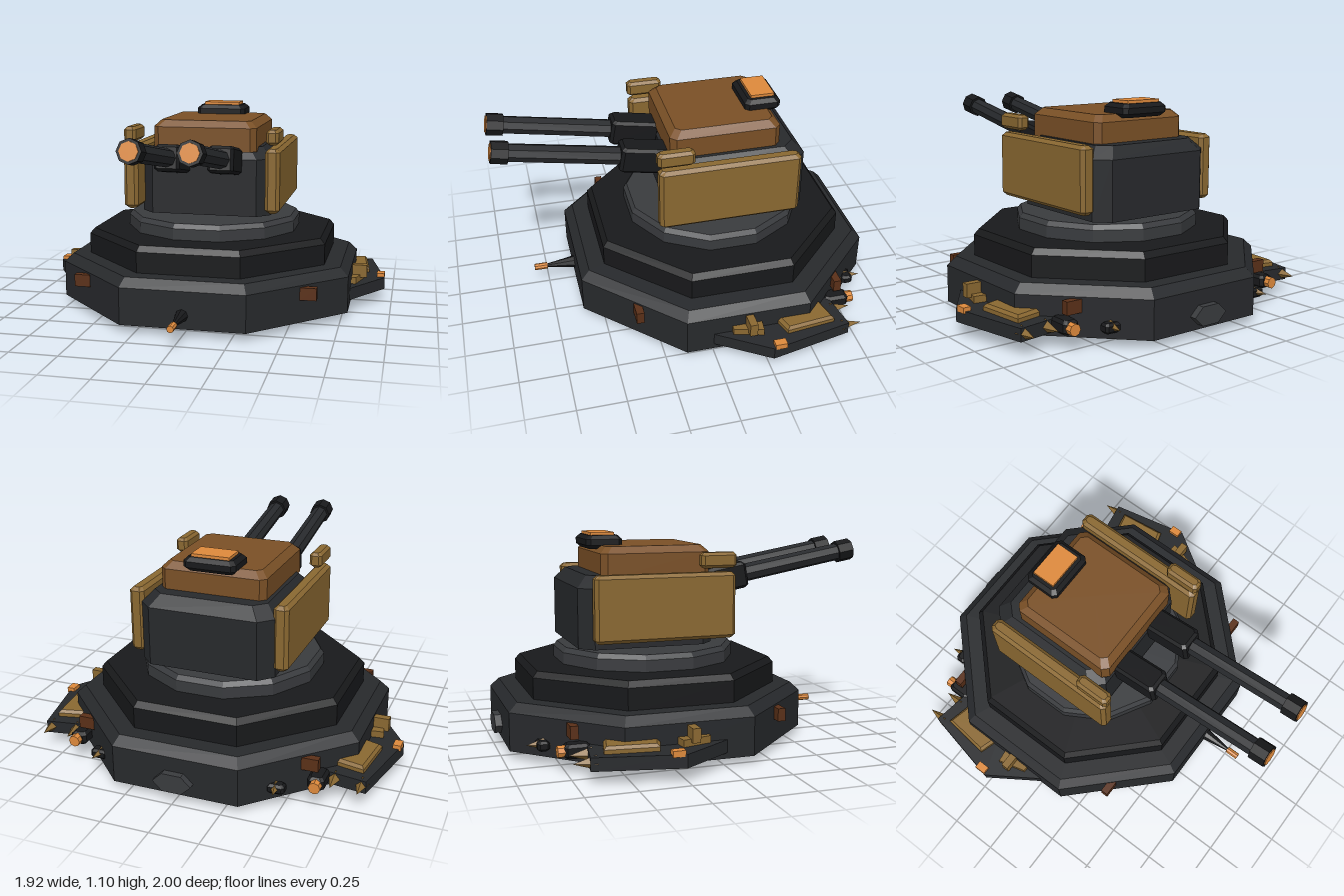
import * as THREE from 'three';

const mat = (color) => new THREE.MeshStandardMaterial({ color, flatShading: true, side: THREE.DoubleSide });

export function createModel() {
  const dark = mat(0x27292c), black = mat(0x18191b), steel = mat(0x393b3e);
  const gold = mat(0x8a6831), brown = mat(0x7a5026), rust = mat(0x5a3018), orange = mat(0xde8a3c);
  const model = new THREE.Group();
  model.name = 'turretEmplacement';

  function add(geometry, material, name, x = 0, y = 0, z = 0, parent = model) {
    const mesh = new THREE.Mesh(geometry, material);
    mesh.name = name;
    mesh.position.set(x, y, z);
    parent.add(mesh);
    return mesh;
  }

  // Solid from an [x, z] outline; each step is [y, inset]
  function loft(outline, steps) {
    const area = outline.reduce((s, [x, z], i) => {
      const [nx, nz] = outline[(i + 1) % outline.length];
      return s + z * nx - x * nz;
    }, 0);
    const pts = area > 0 ? outline : [...outline].reverse();
    const xs = pts.map((p) => p[0]), zs = pts.map((p) => p[1]);
    const [x0, x1, z0, z1] = [Math.min(...xs), Math.max(...xs), Math.min(...zs), Math.max(...zs)];
    const cx = (x0 + x1) / 2, cz = (z0 + z1) / 2;
    const rings = steps.map(([y, inset]) => pts.map(([x, z]) => [
      cx + (x - cx) * (1 - 2 * inset / (x1 - x0)), y, cz + (z - cz) * (1 - 2 * inset / (z1 - z0))]));
    const out = [], n = pts.length, last = rings[rings.length - 1];
    for (let i = 0; i < n; i++) {
      const j = (i + 1) % n;
      for (let k = 0; k + 1 < rings.length; k++) {
        const a = rings[k], b = rings[k + 1];
        out.push(...a[i], ...a[j], ...b[j], ...a[i], ...b[j], ...b[i]);
      }
      out.push(cx, last[0][1], cz, ...last[i], ...last[j]);
      out.push(cx, rings[0][0][1], cz, ...rings[0][j], ...rings[0][i]);
    }
    const g = new THREE.BufferGeometry();
    g.setAttribute('position', new THREE.Float32BufferAttribute(out, 3));
    g.computeVertexNormals();
    return g;
  }

  // Regular polygon with a flat side to the front, sized by its apothem
  const polygon = (n, apothem) => Array.from({ length: n }, (_, i) => {
    const a = (i + 0.5) * 2 * Math.PI / n, r = apothem / Math.cos(Math.PI / n);
    return [r * Math.sin(a), r * Math.cos(a)];
  });
  // Rectangle with cut corners
  const cutRect = (w, d, c) => {
    const x = w / 2, z = d / 2;
    return [[x - c, z], [x, z - c], [x, c - z], [x - c, -z], [c - x, -z], [-x, c - z], [-x, z - c], [c - x, z]];
  };
  // Box with all edges chamfered
  const chamferBox = (w, h, d, c) => loft(cutRect(w, d, c),
    [[-h / 2, c], [c - h / 2, 0], [h / 2 - c, 0], [h / 2, c]]);
  const box = (w, h, d) => new THREE.BoxGeometry(w, h, d);
  // Cylinder lying along z, rear radius first
  const rod = (rBack, rFront, length, sides) =>
    new THREE.CylinderGeometry(rFront, rBack, length, sides).rotateX(Math.PI / 2);

  // Stepped base and turntable
  const CZ = -0.18;
  add(loft(polygon(8, 0.785), [[0.04, 0], [0.235, 0], [0.28, 0.045]]), dark, 'basePlatform', 0, 0, CZ);
  add(loft(polygon(8, 0.653), [[0.27, 0], [0.39, 0], [0.42, 0.025]]), black, 'upperPlatform', 0, 0, CZ);
  add(loft(polygon(12, 0.466), [[0.41, 0], [0.48, 0], [0.505, 0.018]]), steel, 'turntable', 0, 0, CZ);

  // Turret body, roof and hatch
  add(loft(cutRect(0.71, 0.71, 0.07), [[0.525, 0], [0.83, 0], [0.89, 0.055]]), dark, 'turretBody', 0, 0, -0.248);
  add(loft(cutRect(0.56, 0.58, 0.03), [[0.87, 0], [0.995, 0], [1.03, 0.035]]), brown, 'turretRoof', 0, 0, -0.184);
  add(chamferBox(0.275, 0.07, 0.19, 0.02), black, 'hatch', 0, 1.045, -0.42);
  add(box(0.2, 0.03, 0.125), orange, 'hatchLight', 0, 1.08, -0.425);

  // Front probe and rear hatch
  add(rod(0.035, 0.008, 0.17, 8), black, 'probe', 0, 0.11, 0.68);
  add(rod(0.018, 0.018, 0.07, 8), orange, 'probeTip', 0, 0.11, 0.79);
  add(rod(0.1, 0.1, 0.06, 6).rotateZ(Math.PI / 6), steel, 'rearCap', 0, 0.112, -0.97).scale.y = 0.55;
  add(box(0.26, 0.02, 0.3), black, 'bellyPlate', 0, 0.042, CZ);

  for (const s of [1, -1]) {
    const side = s > 0 ? 'left' : 'right';
    const mirror = (pts) => pts.map(([x, z]) => [x * s, z]);

    // Side armour
    add(chamferBox(0.078, 0.34, 0.74, 0.018), gold, side + 'ArmourPlate', s * 0.382, 0.73, -0.175);
    add(chamferBox(0.066, 0.08, 0.19, 0.015), gold, side + 'ArmourBlock', s * 0.382, 0.96, 0.107);

    // Gun, tilted up as one unit
    const gun = new THREE.Group();
    gun.name = side + 'Gun';
    gun.position.set(s * 0.14, 0.84, 0.22);
    gun.rotation.x = -0.178;
    model.add(gun);
    add(chamferBox(0.135, 0.14, 0.26, 0.015), black, 'gunMount', 0, 0, 0, gun);
    add(rod(0.049, 0.047, 0.68, 8), dark, 'barrel', 0, 0, 0.41, gun);
    add(rod(0.06, 0.06, 0.085, 8), black, 'muzzle', 0, 0, 0.738, gun);
    add(rod(0.046, 0.046, 0.01, 8), orange, 'muzzleGlow', 0, 0, 0.78, gun);

    // Corner blocks on the diagonal faces
    for (const z of [0.355, -0.71])
      add(box(0.085, 0.065, 0.04), rust, side + 'CornerBlock', s * 0.602, 0.193, z);

    // Side deck with its fittings
    add(loft(mirror([[0.74, 0.05], [0.79, 0], [0.96, -0.26], [0.87, -0.69], [0.62, -0.65], [0.7, -0.3]]),
      [[0.07, 0], [0.135, 0]]), dark, side + 'Deck');
    add(loft(mirror([[0.84, -0.62], [0.87, -0.36], [0.77, -0.33], [0.66, -0.58]]),
      [[0.13, 0], [0.155, 0], [0.17, 0.015]]), gold, side + 'DeckPanel');
    add(loft(mirror([[0.76, -0.25], [0.85, -0.24], [0.81, -0.09], [0.76, -0.09]]),
      [[0.12, 0], [0.17, 0]]), gold, side + 'DeckStep');
    add(box(0.09, 0.07, 0.04), gold, side + 'DeckPost', s * 0.82, 0.19, -0.18);
    add(box(0.042, 0.03, 0.062), orange, side + 'DeckLight', s * 0.937, 0.14, -0.297);

    // Rear spikes and thruster
    for (const [x, z, tilt] of [[0.845, -0.71, 0], [0.71, -0.7, 0], [0.47, -0.855, 0.15]]) {
      const spike = add(new THREE.ConeGeometry(0.035, 0.11, 4).rotateX(-Math.PI / 2), gold, side + 'Spike', s * x, 0.105, z);
      spike.rotation.y = -s * tilt;
    }
    add(chamferBox(0.085, 0.07, 0.13, 0.015), black, side + 'ThrusterHousing', s * 0.64, 0.11, -0.7);
    add(rod(0.03, 0.03, 0.04, 8), orange, side + 'ThrusterNozzle', s * 0.645, 0.11, -0.775);
    add(chamferBox(0.09, 0.05, 0.06, 0.012), black, side + 'RearVent', s * 0.47, 0.1, -0.83);

    // Underside skids
    add(chamferBox(0.1, 0.05, 0.28, 0.015), black, side + 'Skid', s * 0.43, 0.025, -0.01);
    add(box(0.05, 0.02, 1.2), black, side + 'KeelStrip', s * 0.24, 0.038, -0.19);
  }
  return model;
}
